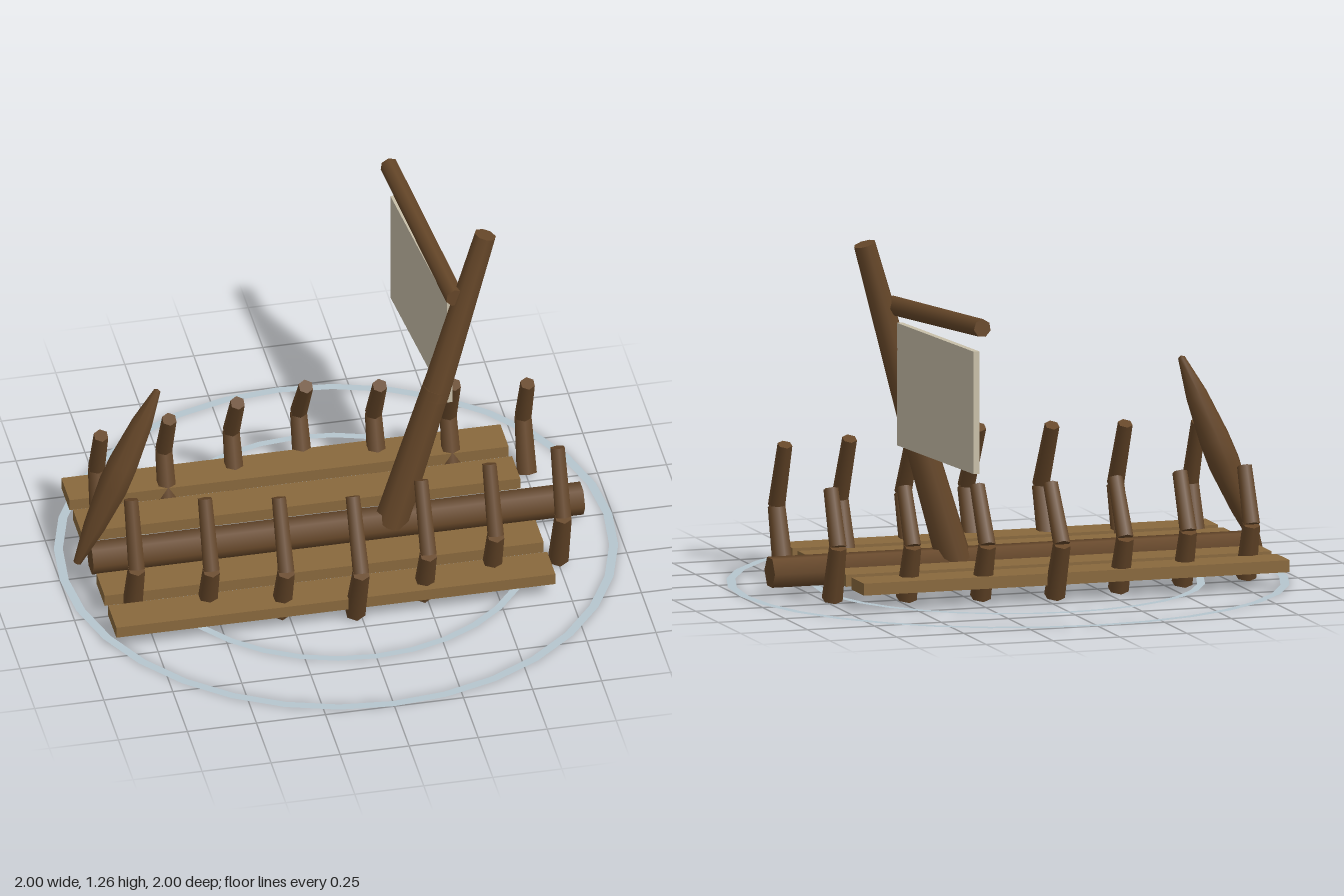
import * as THREE from 'three';

const mat = (name, color, side = THREE.FrontSide) => {
  const m = new THREE.MeshStandardMaterial({ color, side });
  m.name = name;
  return m;
};

export function createModel() {
  const model = new THREE.Group();
  model.name = 'shipwreck';
  const timber = mat('dark timber', 0x664729);
  const deck = mat('plank wood', 0x89693d);
  const canvas = mat('sail canvas', 0xc8bfa9);
  const foam = mat('water ripple', 0xb6c6ce, THREE.DoubleSide);

  const add = (name, geometry, material, parent = model) => {
    const mesh = new THREE.Mesh(geometry, material);
    mesh.name = name;
    parent.add(mesh);
    return mesh;
  };

  // Places a mesh whose long axis is y between two points
  const up = new THREE.Vector3(0, 1, 0);
  const aim = (mesh, a, b) => {
    mesh.position.copy(a).lerp(b, 0.5);
    mesh.quaternion.setFromUnitVectors(up, b.clone().sub(a).normalize());
    return mesh;
  };
  const beam = (name, from, to, r0, r1, sides = 6, parent = model) => {
    const a = new THREE.Vector3(...from), b = new THREE.Vector3(...to);
    const geometry = new THREE.CylinderGeometry(r1, r0, a.distanceTo(b), sides);
    return aim(add(name, geometry, timber, parent), a, b);
  };

  // Flat ripples on the water
  for (const [name, inner, outer] of [['innerRipple', 0.672, 0.7], ['outerRipple', 0.968, 1]]) {
    const ring = add(name, new THREE.RingGeometry(inner, outer, 32), foam);
    ring.rotation.x = -Math.PI / 2;
    ring.position.y = 0.002;
  }

  // Keel
  beam('keel', [-0.89, 0.083, 0], [0.89, 0.083, 0], 0.059, 0.059);

  // Leaning spindle-shaped bow post
  const bowFrom = new THREE.Vector3(-0.94, 0.065, 0), bowTo = new THREE.Vector3(-0.645, 0.78, 0);
  const half = bowFrom.distanceTo(bowTo) / 2;
  const profile = [[0, -1], [0.015, -0.98], [0.042, -0.55], [0.058, -0.1], [0.056, 0.15], [0.04, 0.6], [0.013, 0.98], [0, 1]]
    .map(([r, t]) => new THREE.Vector2(r, t * half));
  aim(add('bowPost', new THREE.LatheGeometry(profile, 8), timber), bowFrom, bowTo);

  // Deck planks
  for (const side of [-1, 1]) {
    for (const z of [0.2, 0.4]) {
      add('plank', new THREE.BoxGeometry(1.59, 0.043, 0.14), deck).position.set(-0.1, 0.085, side * z);
    }
  }

  // Bent ribs, drawn in toward bow and stern; the two sides have sunk differently
  const sides = [
    { s: 1, name: 'leftRib', kneeY: 0.26, topY: 0.495, bottomZ: 0.435, topZ: 0.392 },
    { s: -1, name: 'rightRib', kneeY: 0.22, topY: 0.418, bottomZ: 0.453, topZ: 0.408 },
  ];
  for (const { s, name, kneeY, topY, bottomZ, topZ } of sides) {
    for (let i = 0; i < 7; i++) {
      const k = Math.abs(i - 3);
      const x = -0.795 + i * 0.2575;
      const rib = new THREE.Group();
      rib.name = name;
      model.add(rib);
      const bottom = [x, 0.023, s * (bottomZ - 0.058 * k)];
      const knee = [x, kneeY, s * (0.535 - 0.064 * k)];
      const top = [x, topY, s * (topZ - 0.048 * k)];
      beam('lowerRib', bottom, knee, 0.038, 0.032, 6, rib);
      beam('upperRib', knee, top, 0.031, 0.027, 6, rib);
    }
  }

  // Leaning mast in two slightly bent lengths
  beam('lowerMast', [0.2, 0.085, 0], [0.365, 0.64, -0.004], 0.065, 0.054, 8);
  beam('upperMast', [0.355, 0.6, -0.003], [0.548, 1.25, -0.036], 0.055, 0.04, 8);

  // Yard and the sail hanging under it
  beam('yard', [0.432, 1.018, 0], [0.36, 1.057, -0.79], 0.035, 0.033, 7);
  const sail = add('sail', new THREE.BoxGeometry(0.022, 0.44, 0.676), canvas);
  sail.position.set(0.394, 0.745, -0.397);
  sail.rotation.y = Math.atan2(0.072, 0.79);

  return model;
}
